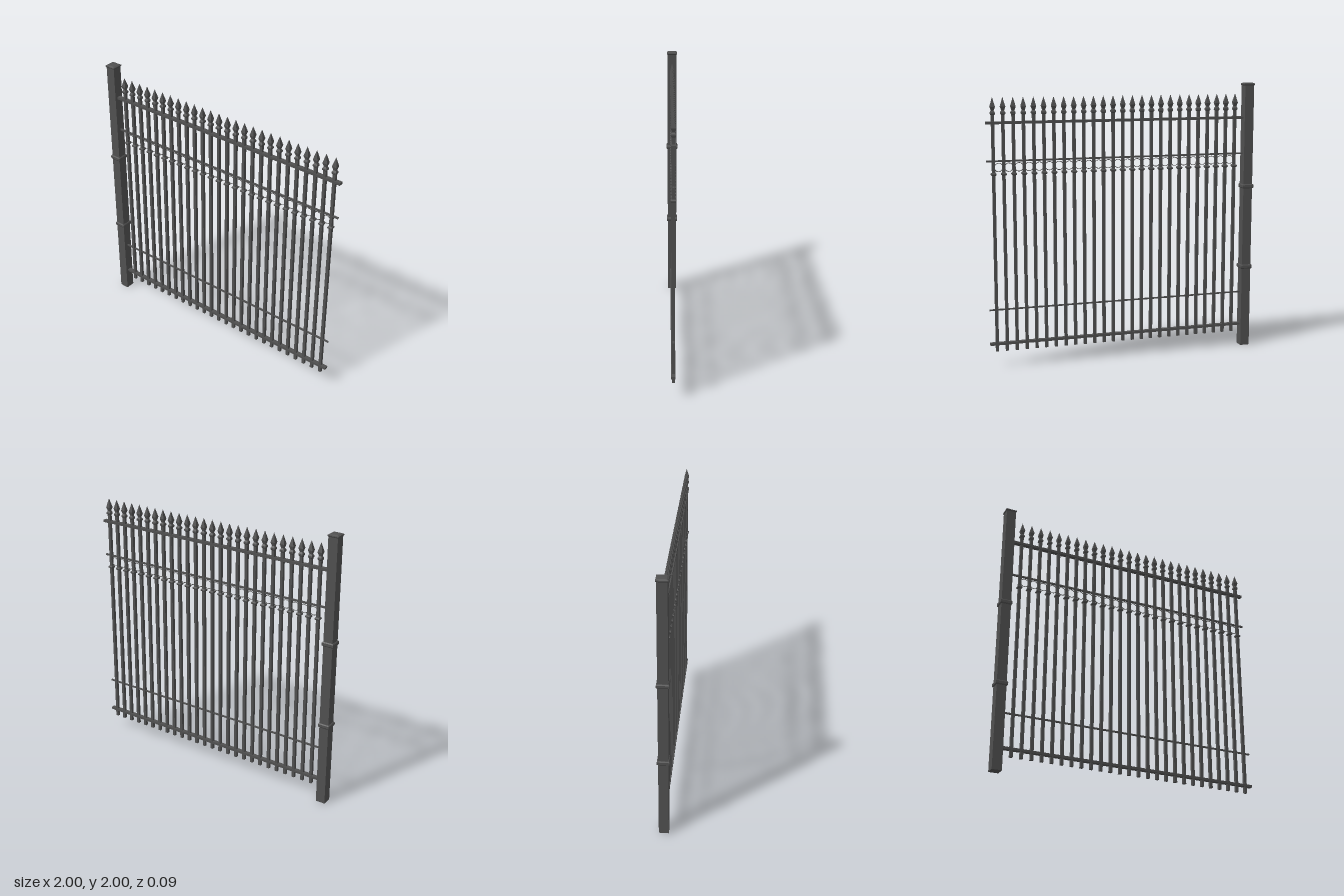
import * as THREE from 'three';

const iron = new THREE.MeshStandardMaterial({ color: 0x505050 });
iron.name = 'dark iron';

// Square-section turned shape from [half width, y] pairs, with flat faces
function squareProfile(pairs) {
  const points = pairs.map(([w, y]) => new THREE.Vector2(w * Math.SQRT2, y));
  const geo = new THREE.LatheGeometry(points, 4, Math.PI / 4).toNonIndexed();
  geo.computeVertexNormals();
  return geo;
}

function addPart(parent, name, geometry, x = 0, y = 0, z = 0) {
  const mesh = new THREE.Mesh(geometry, iron);
  mesh.name = name;
  mesh.position.set(x, y, z);
  parent.add(mesh);
  return mesh;
}

export function createModel() {
  const fence = new THREE.Group();
  fence.name = 'fencePanel';

  // End post with two chamfered bands and a low pyramid cap
  const post = new THREE.Group();
  post.name = 'post';
  post.position.x = -0.957;
  fence.add(post);
  addPart(post, 'postShaft', new THREE.BoxGeometry(0.07, 1.98, 0.07), 0, 0.99);
  const band = squareProfile([
    [0.034, -0.016], [0.038, -0.016], [0.043, -0.009],
    [0.043, 0.009], [0.038, 0.016], [0.034, 0.016],
  ]);
  for (const y of [0.615, 1.23]) addPart(post, 'postBand', band, 0, y);
  addPart(post, 'postCap', squareProfile([
    [0, 1.978], [0.035, 1.978], [0.04, 1.984], [0.04, 1.991], [0.029, 1.997], [0, 2.0],
  ]));

  // Horizontal rails: [name, y, height, depth]
  const railLeft = -0.925, railRight = 1;
  const rails = [
    ['topRail', 1.742, 0.018, 0.03],
    ['upperThinRail', 1.476, 0.012, 0.012],
    ['lowerThinRail', 0.415, 0.01, 0.012],
    ['bottomRail', 0.166, 0.018, 0.03],
  ];
  for (const [name, y, h, d] of rails) {
    addPart(fence, name, new THREE.BoxGeometry(railRight - railLeft, h, d),
      (railLeft + railRight) / 2, y);
  }

  // Pickets with collars, spear heads and a ring in every gap
  const count = 26, first = -0.855, step = 1.805 / (count - 1);
  const bar = new THREE.BoxGeometry(0.021, 1.7, 0.021);
  const collar = squareProfile([
    [0.01, -0.011], [0.015, -0.008], [0.018, -0.003],
    [0.018, 0.003], [0.015, 0.008], [0.01, 0.011],
  ]);
  const spear = squareProfile([
    [0.01, 1.795], [0.016, 1.803], [0.016, 1.814], [0.009, 1.826],
    [0.012, 1.836], [0.017, 1.853], [0.009, 1.885], [0, 1.92],
  ]);
  const ring = new THREE.TorusGeometry(0.03, 0.0025, 6, 24);
  for (let i = 0; i < count; i++) {
    const picket = new THREE.Group();
    picket.name = 'picket';
    picket.position.x = first + i * step;
    fence.add(picket);
    addPart(picket, 'bar', bar, 0, 0.96);
    addPart(picket, 'collar', collar, 0, 1.385);
    addPart(picket, 'spearHead', spear);
    if (i < count - 1) addPart(picket, 'ring', ring, step / 2, 1.432);
  }
  return fence;
}
